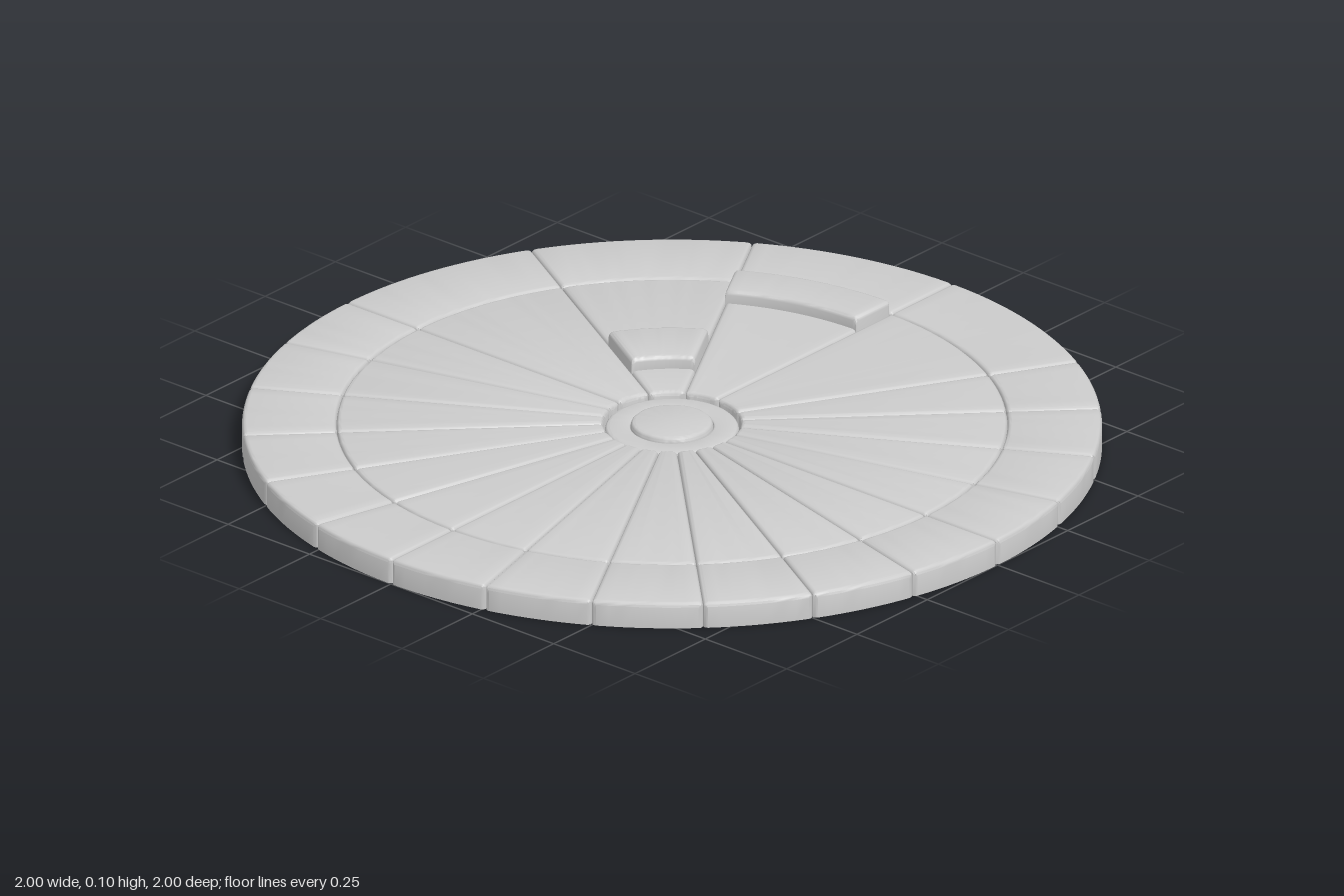
import * as THREE from 'three';
import { toCreasedNormals } from 'three/addons/utils/BufferGeometryUtils.js';

const TOP = 0.064, RAISED = 0.096, BEVEL = 0.011;
const HUB = 0.16, MID = 0.78, RIM = 1;

const material = new THREE.MeshStandardMaterial({ color: 0xcccccc, side: THREE.DoubleSide });

// Quarter-round edge: [distance in, drop below the top]
const edge = [0, 1, 2, 3].map(i => {
  const a = (i / 3) * Math.PI / 2;
  return [BEVEL * (1 - Math.cos(a)), BEVEL * (1 - Math.sin(a))];
});

// Open-bottomed ring sector, lofted outward through radial stations.
// block = [inner, outer] radius of a raised hollow step across the tile.
function tileGeometry(r0, r1, deg0, deg1, block) {
  // stations: [radius, height, extra side inset at the rounded corners]
  const stations = [];
  const rise = (r, dir, low, high, corner) => {
    const list = [[r, low, corner ? BEVEL : 0]];
    for (const [d, drop] of edge) list.push([r + dir * d, high - drop, corner ? drop : 0]);
    stations.push(...(dir > 0 ? list : list.reverse()));
  };
  const flushOuter = block && block[1] === r1;
  rise(r0, 1, 0, TOP, true);
  if (block) {
    rise(block[0], 1, TOP, RAISED, false);
    if (!flushOuter) rise(block[1], -1, TOP, RAISED, false);
  }
  rise(r1, -1, 0, flushOuter ? RAISED : TOP, true);

  // cross-section: [fraction across, side inset, drop] ; drop null = on the ground
  const a0 = THREE.MathUtils.degToRad(deg0), a1 = THREE.MathUtils.degToRad(deg1);
  const steps = Math.round((deg1 - deg0) / 1.875);
  const section = [[0, 0, null], ...edge.map(([d, p]) => [0, d, p])];
  for (let i = 1; i < steps; i++) section.push([i / steps, BEVEL, 0]);
  section.push(...edge.map(([d, p]) => [1, d, p]).reverse(), [1, 0, null]);

  const pos = [], index = [], n = section.length;
  for (const [r, h, extra] of stations) {
    for (const [t, inset, drop] of section) {
      const pad = (Math.max(inset, extra)) / r;
      const a = THREE.MathUtils.lerp(a0 + pad, a1 - pad, t);
      const y = drop === null ? 0 : Math.max(0, h - drop);
      pos.push(r * Math.cos(a), y, -r * Math.sin(a));
    }
  }
  for (let i = 0; i < stations.length - 1; i++) {
    for (let j = 0; j < n - 1; j++) {
      const a = i * n + j, b = a + n;
      index.push(a, b, a + 1, b, b + 1, a + 1);
    }
  }
  const geo = new THREE.BufferGeometry();
  geo.setAttribute('position', new THREE.Float32BufferAttribute(pos, 3));
  geo.setIndex(index);
  return toCreasedNormals(geo, 0.7);
}

function lathe(points) {
  const profile = points.map(([x, y]) => new THREE.Vector2(x, y));
  return toCreasedNormals(new THREE.LatheGeometry(profile, 64), 0.7);
}

export function createModel() {
  const model = new THREE.Group();
  const add = (name, geometry, parent = model) => {
    const mesh = new THREE.Mesh(geometry, material);
    mesh.name = name;
    parent.add(mesh);
  };

  // Joints every 15 degrees, with four double-width sectors at the back
  const joints = [0, 15, 30, 45, 60, 90, 120, 150];
  for (let d = 180; d <= 360; d += 15) joints.push(d);

  // Raised steps, keyed by the sector's starting angle
  const blocks = { 90: [0.655, MID], 120: [0.285, 0.45] };

  const wedges = new THREE.Group();
  wedges.name = 'innerWedges';
  const rim = new THREE.Group();
  rim.name = 'outerRim';
  model.add(wedges, rim);
  for (let i = 0; i < joints.length - 1; i++) {
    const from = joints[i], to = joints[i + 1];
    const name = blocks[from] ? 'steppedWedge' : 'wedge';
    add(name, tileGeometry(HUB, MID, from, to, blocks[from]), wedges);
    add('rimTile', tileGeometry(MID, RIM, from, to), rim);
  }

  // Hub: a hollow collar slightly below the tiles, and a hollow centre cap
  const collar = 0.052;
  add('hubRing', lathe([
    [0.156, 0],
    ...edge.map(([d, p]) => [0.156 - d, collar - p]),
    ...edge.map(([d, p]) => [0.097 + d * 0.4, collar - p * 0.4]).reverse(),
    [0.097, 0],
  ]));
  add('hubCap', lathe([
    [0.096, 0],
    ...edge.map(([d, p]) => [0.096 - d, TOP - p]),
    [0, TOP],
  ]));
  return model;
}
